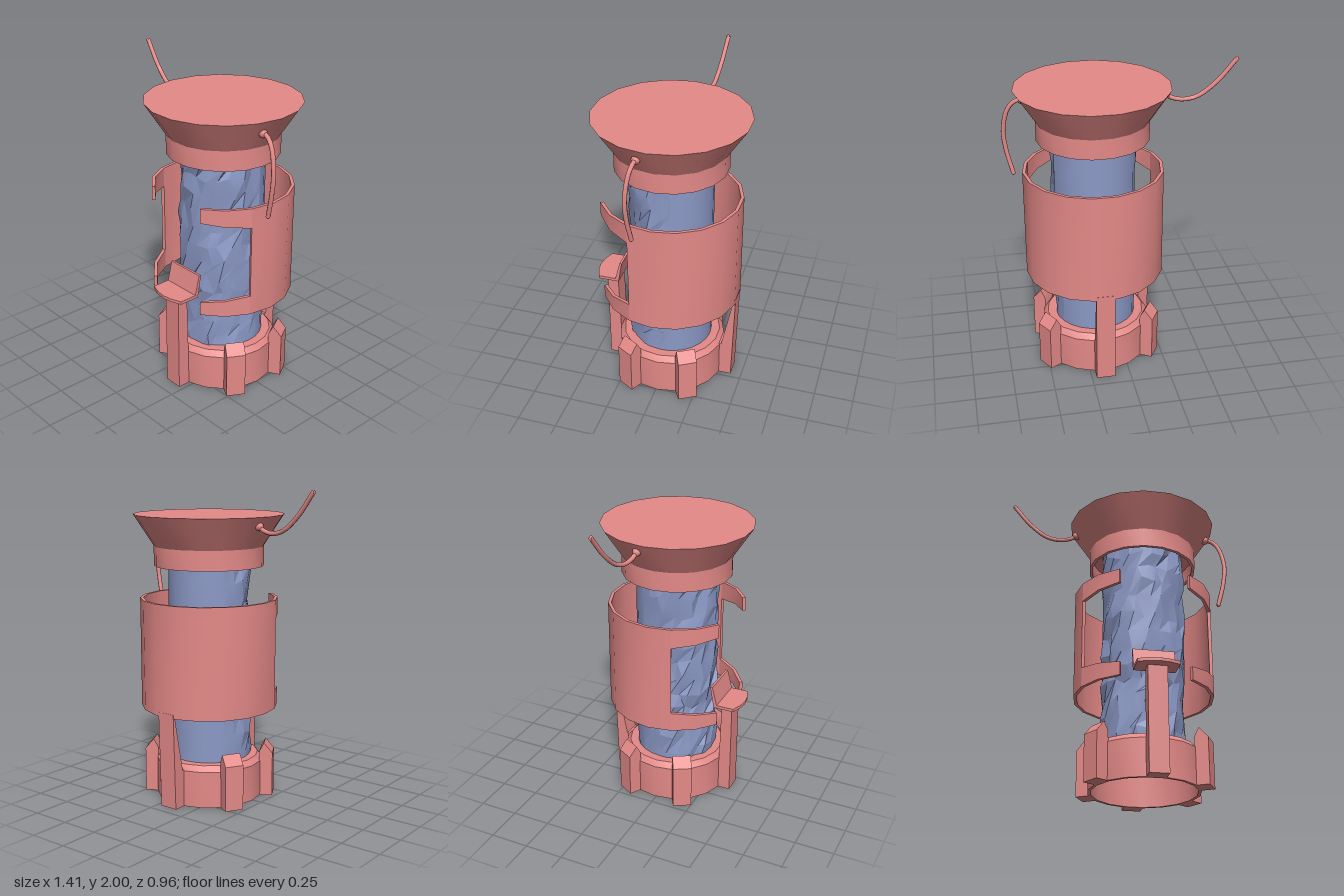
import * as THREE from 'three';
import { toCreasedNormals } from 'three/addons/utils/BufferGeometryUtils.js';

const red = new THREE.MeshStandardMaterial({ color: 0xe48a88 });
const blue = new THREE.MeshStandardMaterial({ color: 0x8c99c6 });
const RAD = Math.PI / 180;

function add(parent, name, geometry, material = red, crease = 0.5) {
  const mesh = new THREE.Mesh(toCreasedNormals(geometry, crease), material);
  mesh.name = name;
  parent.add(mesh);
  return mesh;
}

// Eighteen-sided turned part with corners on the x axis
function turned(points) {
  const g = new THREE.LatheGeometry(points.map(([r, y]) => new THREE.Vector2(r, y)), 18);
  return g.rotateY(Math.PI / 2);
}

// Thin wall bent around the axis; angles in degrees from the front,
// lo and hi give its lower and upper edge at either end
function bentWall(a0, a1, lo, hi, rIn, rOut) {
  const steps = Math.max(1, Math.round(Math.abs(a1 - a0) / 20));
  const g = new THREE.BoxGeometry(1, 1, 1, steps, 1, 1);
  const p = g.attributes.position;
  const mix = THREE.MathUtils.lerp;
  for (let i = 0; i < p.count; i++) {
    const t = p.getX(i) + 0.5;
    const a = mix(a0, a1, t) * RAD;
    const y = mix(mix(lo[0], lo[1], t), mix(hi[0], hi[1], t), p.getY(i) + 0.5);
    const r = mix(rIn, rOut, p.getZ(i) + 0.5);
    p.setXYZ(i, r * Math.sin(a), y, r * Math.cos(a));
  }
  return g;
}

// Radial profile (distance, height) given a width and pointing to +z
function radialBlock(points, width) {
  const shape = new THREE.Shape(points.map(([r, y]) => new THREE.Vector2(r, y)));
  const g = new THREE.ExtrudeGeometry(shape, { depth: width, bevelEnabled: false });
  return g.translate(0, 0, -width / 2).rotateY(-Math.PI / 2);
}

// Column, smooth behind and chipped into facets on the front
function coreGeometry() {
  let seed = 7;
  const rand = () => (seed = (seed * 16807) % 2147483647) / 2147483647 - 0.5;
  const cols = 24, rows = 13, y0 = 0.22, y1 = 1.62;
  const g = new THREE.CylinderGeometry(0.26, 0.26, y1 - y0, cols, rows, false, Math.PI);
  g.translate(0, (y0 + y1) / 2, 0);
  const p = g.attributes.position;
  const side = (cols + 1) * (rows + 1);
  for (let i = 0; i < side; i++) {
    const row = Math.floor(i / (cols + 1));
    let a = Math.PI + (i % (cols + 1)) / cols * Math.PI * 2;
    const front = THREE.MathUtils.smoothstep(Math.cos(a), -0.35, 0.1);
    const k = row > 0 && row < rows ? front : 0;
    a += k * (rand() * 0.13 + (row % 2 ? 0.06 : -0.06));
    const r = 0.26 + k * rand() * 0.04;
    p.setXYZ(i, r * Math.sin(a), p.getY(i) + k * rand() * 0.06, r * Math.cos(a));
  }
  return g;
}

// Hanging cable with a small knob at its root
function cable(parent, name, points) {
  const group = new THREE.Group();
  group.name = name;
  const path = new THREE.CatmullRomCurve3(points.map((q) => new THREE.Vector3(...q)));
  add(group, 'cableTube', new THREE.TubeGeometry(path, 20, 0.014, 8), red, 0.9);
  for (const end of [0, 1]) {
    const cap = add(group, 'cableEnd', new THREE.SphereGeometry(0.014, 8, 6), red, 1);
    cap.position.copy(path.getPoint(end));
  }
  const knob = add(group, 'cableKnob', new THREE.SphereGeometry(0.027, 10, 8), red, 1);
  knob.position.copy(path.getPoint(0.03));
  parent.add(group);
}

export function createModel() {
  const model = new THREE.Group();
  model.name = 'capsule';
  const body = new THREE.Group();
  body.name = 'body';
  body.position.set(0.16, 0, -0.01);
  model.add(body);

  add(body, 'core', coreGeometry(), blue, 0.27);

  // Base ring, hollow underneath
  add(body, 'baseRing', turned([
    [0, 0.22], [0.325, 0.22], [0.325, 0], [0.345, 0],
    [0.345, 0.235], [0.315, 0.27], [0, 0.27],
  ]));

  // Clamps around the base
  for (const angle of [60, 120, 240, 300]) {
    const clamp = add(body, 'baseClamp', radialBlock(
      [[0.325, 0], [0.42, 0], [0.42, 0.29], [0.365, 0.355], [0.335, 0.3]], 0.12));
    clamp.rotation.y = angle * RAD;
  }

  // Rear strut carrying the sleeve
  const strut = add(body, 'rearStrut', radialBlock(
    [[0.335, 0], [0.42, 0], [0.436, 0.62], [0.425, 0.62], [0.35, 0.24], [0.335, 0.24]], 0.12));
  strut.rotation.y = Math.PI;

  // Front post with a small ledge and a leaning back plate
  add(body, 'frontPost', radialBlock([[0.335, 0], [0.42, 0], [0.42, 0.66], [0.35, 0.66]], 0.12));
  const ledge = new THREE.Shape([
    [-0.13, -0.32], [0.13, -0.32], [0.13, -0.455], [0.06, -0.48],
    [0, -0.488], [-0.06, -0.48], [-0.13, -0.455],
  ].map(([x, y]) => new THREE.Vector2(x, y)));
  const ledgeGeometry = new THREE.ExtrudeGeometry(ledge, { depth: 0.02, bevelEnabled: false });
  add(body, 'ledge', ledgeGeometry.rotateX(-Math.PI / 2).translate(0, 0.655, 0), red, 0.1);
  add(body, 'ledgeBack', radialBlock(
    [[0.32, 0.66], [0.345, 0.66], [0.31, 0.8], [0.295, 0.8]], 0.26));

  // Sleeve: rear wall and two pairs of arms framing the open front
  const rIn = 0.42, rOut = 0.441;
  const sleeve = new THREE.Group();
  sleeve.name = 'sleeve';
  body.add(sleeve);
  add(sleeve, 'sleeveWall', bentWall(70, 290, [0.595, 0.595], [1.3, 1.3], rIn, rOut));
  add(sleeve, 'leftUpperArm', bentWall(30, 70, [1.21, 1.175], [1.3, 1.3], rIn, rOut));
  add(sleeve, 'leftLowerArm', bentWall(30, 70, [0.595, 0.595], [0.68, 0.72], rIn, rOut));
  add(sleeve, 'rightUpperArm', bentWall(290, 330, [1.175, 1.21], [1.3, 1.3], rIn, rOut));
  add(sleeve, 'rightLowerArm', bentWall(290, 330, [0.595, 0.595], [0.72, 0.68], rIn, rOut));

  // Collar, hollow underneath, flaring into the flat-topped head
  add(body, 'head', turned([
    [0, 1.6], [0.33, 1.6], [0.33, 1.505], [0.35, 1.505],
    [0.35, 1.63], [0.48, 1.83], [0, 1.83],
  ]));

  // Cables on both sides of the head
  cable(model, 'leftCable', [
    [0.57, 1.745, 0.07], [0.61, 1.74, 0.075], [0.66, 1.69, 0.087],
    [0.695, 1.55, 0.1], [0.685, 1.42, 0.098], [0.648, 1.26, 0.085],
  ]);
  cable(model, 'rightCable', [
    [-0.27, 1.775, -0.07], [-0.31, 1.75, -0.075], [-0.38, 1.737, -0.085],
    [-0.47, 1.76, -0.1], [-0.58, 1.85, -0.115], [-0.69, 1.988, -0.13],
  ]);
  return model;
}
